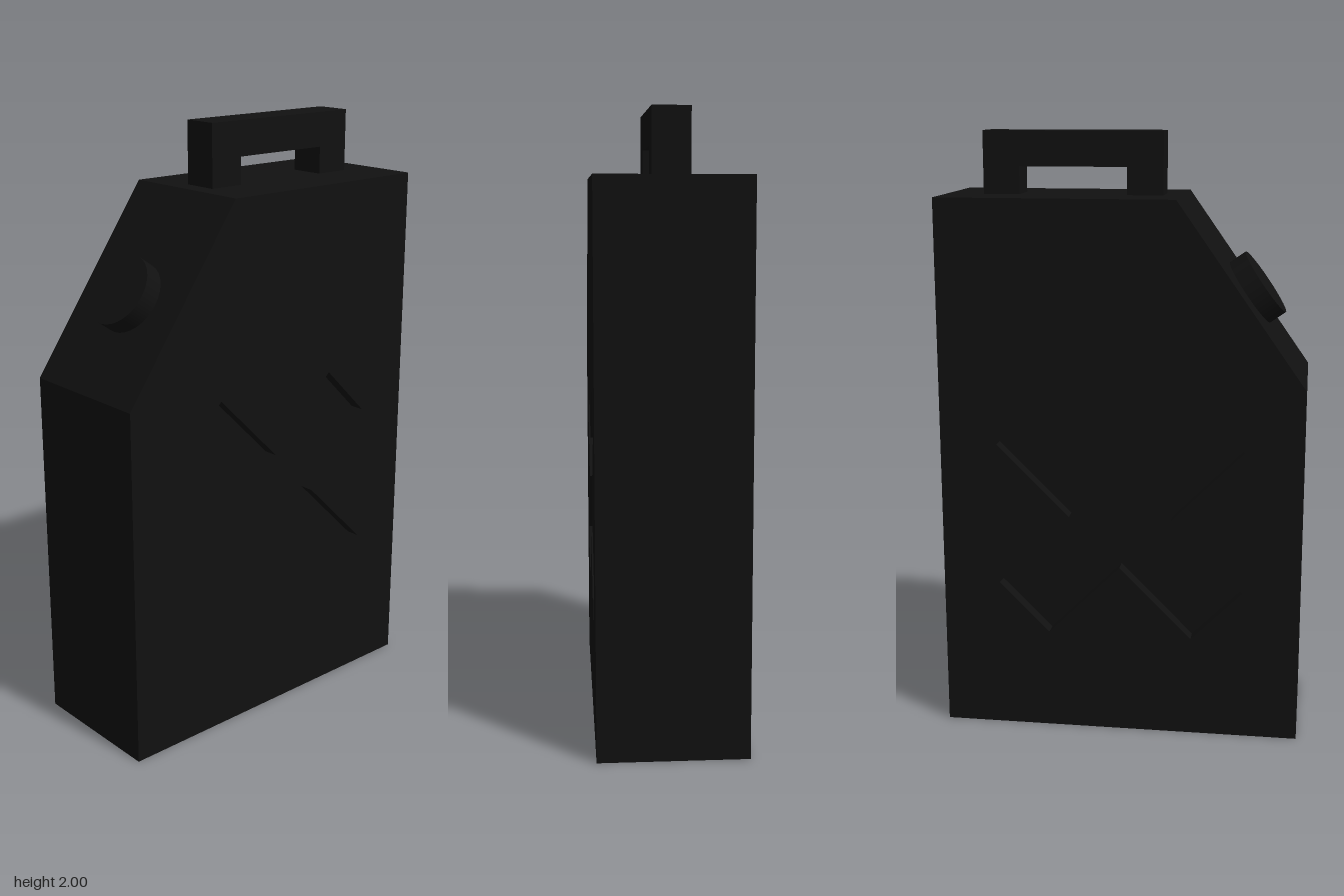
import * as THREE from 'three';
import { mergeGeometries } from 'three/addons/utils/BufferGeometryUtils.js';

const HALF = 0.24;    // half thickness of the can
const RECESS = 0.05;  // depth of the pressed cross

// All profiles are [u, y] with u = -z, counter-clockwise as seen from +x.
const outline = [[-0.6, 0], [0.6, 0], [0.6, 1.795], [-0.18, 1.795], [-0.6, 1.2]];

// Diagonal cross: one arm's corners, turned four times
function crossPoints(cy, length, width) {
  const pts = [];
  for (let k = 0; k < 4; k++) {
    const a = Math.PI / 4 + k * Math.PI / 2, c = Math.cos(a), s = Math.sin(a);
    for (const [x, y] of [[length, -width], [length, width], [width, width]]) {
      pts.push([x * c - y * s, cy + x * s + y * c]);
    }
  }
  return pts;
}

const toVectors = (pts, sign = 1) => pts.map(([u, y]) => new THREE.Vector2(sign * u, y));

// Flat panel facing +x (side 1) or -x (side -1)
function panel(pts, side, x, hole) {
  const shape = new THREE.Shape(toVectors(pts, side));
  if (hole) shape.holes.push(new THREE.Path(toVectors(hole, side)));
  const geo = new THREE.ShapeGeometry(shape).rotateY(side * Math.PI / 2).translate(side * x, 0, 0).toNonIndexed();
  geo.deleteAttribute('uv');
  return geo;
}

// Band of walls along a closed profile, between two x positions
function walls(pts, x0, x1) {
  const pos = [];
  pts.forEach(([u, y], i) => {
    const [v, w] = pts[(i + 1) % pts.length];
    pos.push(x0, y, -u, x0, w, -v, x1, w, -v, x0, y, -u, x1, w, -v, x1, y, -u);
  });
  const geo = new THREE.BufferGeometry();
  geo.setAttribute('position', new THREE.Float32BufferAttribute(pos, 3));
  geo.computeVertexNormals();
  return geo;
}

export function createModel() {
  const group = new THREE.Group();
  const material = new THREE.MeshStandardMaterial({ color: 0x111111 });
  const add = (name, geo) => {
    const mesh = new THREE.Mesh(geo, material);
    mesh.name = name;
    group.add(mesh);
    return mesh;
  };

  // Can body with a cross pressed into both sides
  const cross = crossPoints(0.75, 0.46, 0.12);
  const inward = [...cross].reverse();
  const parts = [walls(outline, -HALF, HALF)];
  for (const side of [1, -1]) {
    const xs = [side * HALF, side * (HALF - RECESS)].sort((a, b) => a - b);
    parts.push(panel(outline, side, HALF, cross));
    parts.push(panel(cross, side, HALF - RECESS));
    parts.push(walls(inward, xs[0], xs[1]));
  }
  add('canBody', mergeGeometries(parts));

  // Carrying handle: an upside-down U
  const handle = new THREE.Shape(toVectors([
    [-0.12, 1.795], [0, 1.795], [0, 1.885], [0.355, 1.885],
    [0.355, 1.795], [0.475, 1.795], [0.475, 2], [-0.12, 2],
  ]));
  add('handle', new THREE.ExtrudeGeometry(handle, { depth: 0.12, bevelEnabled: false })
    .translate(0, 0, -0.06).rotateY(Math.PI / 2));

  // Filler cap standing square on the sloped shoulder
  const normal = new THREE.Vector3(0, 0.42, 0.595).normalize();
  const cap = add('fillerCap', new THREE.CylinderGeometry(0.12, 0.12, 0.08, 32));
  cap.quaternion.setFromUnitVectors(new THREE.Vector3(0, 1, 0), normal);
  cap.position.set(0, 1.478, 0.404).addScaledVector(normal, 0.022);

  return group;
}
